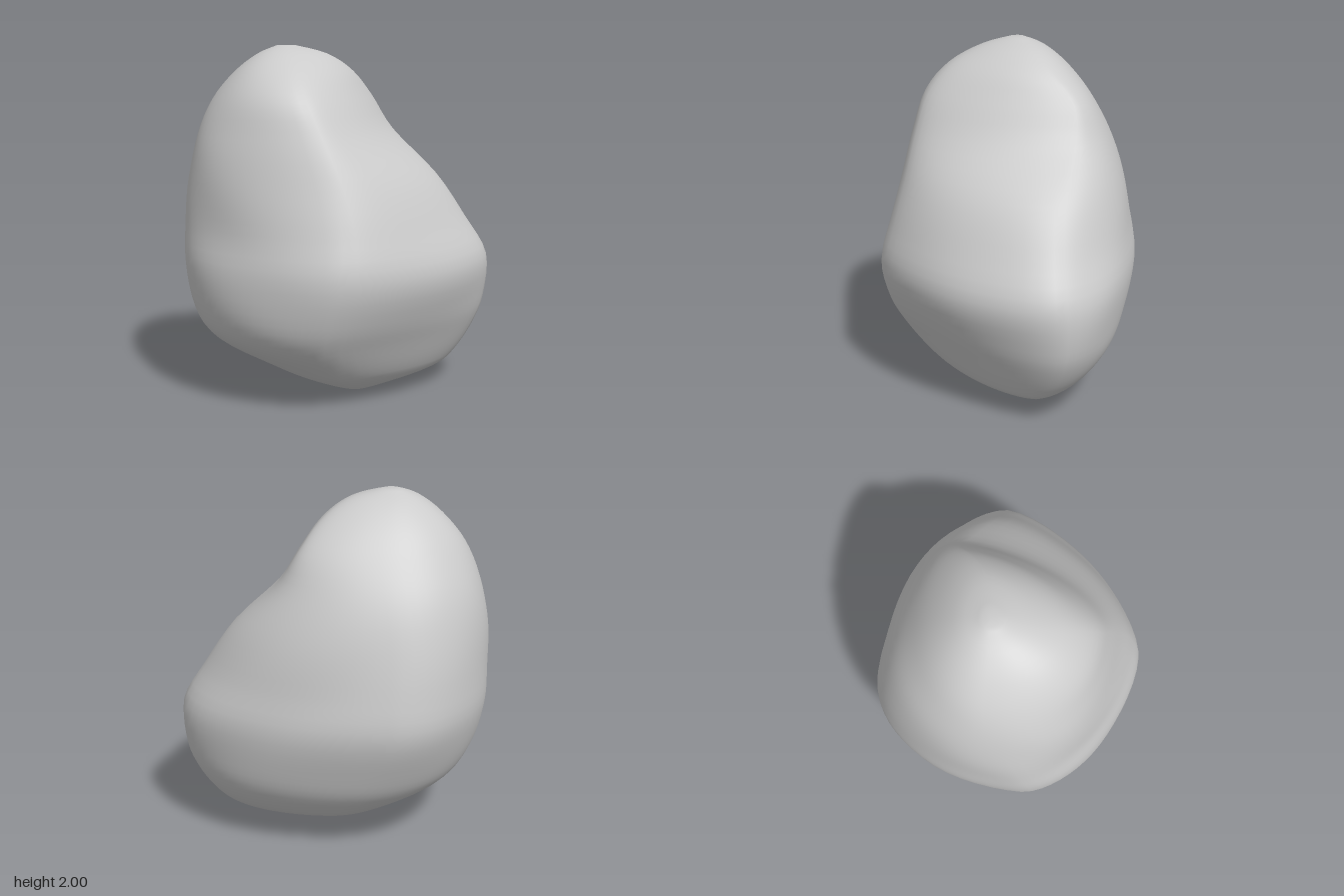
import * as THREE from 'three';

// Horizontal sections: height, left/right extents in x, back/front extents in z,
// then where each extent is reached: z of min x, z of max x, x of min z, x of max z
const SECTIONS = [
  [0.00, 0.06, 0.17, 0.02, 0.12, 0.07, 0.07, 0.11, 0.11],
  [0.05, -0.08, 0.36, -0.16, 0.27, 0.10, 0.02, 0.10, 0.08],
  [0.12, -0.26, 0.60, -0.33, 0.41, 0.12, -0.03, 0.06, 0.03],
  [0.20, -0.43, 0.71, -0.47, 0.51, 0.13, -0.07, 0.00, -0.02],
  [0.35, -0.71, 0.81, -0.61, 0.64, 0.14, -0.10, -0.09, -0.09],
  [0.52, -0.83, 0.87, -0.69, 0.725, 0.14, -0.11, -0.17, -0.07],
  [0.77, -0.885, 0.885, -0.765, 0.765, 0.12, -0.10, -0.26, -0.01],
  [1.00, -0.885, 0.75, -0.74, 0.71, 0.07, -0.11, -0.28, 0.00],
  [1.25, -0.865, 0.58, -0.685, 0.63, 0.01, -0.15, -0.29, -0.05],
  [1.50, -0.81, 0.335, -0.595, 0.55, -0.05, -0.27, -0.26, -0.14],
  [1.70, -0.72, 0.21, -0.48, 0.47, -0.08, -0.30, -0.24, -0.22],
  [1.85, -0.60, 0.09, -0.36, 0.33, -0.08, -0.20, -0.25, -0.27],
  [1.95, -0.47, -0.06, -0.24, 0.14, -0.07, -0.11, -0.28, -0.30],
  [2.00, -0.35, -0.25, -0.12, -0.03, -0.08, -0.08, -0.30, -0.30],
];
const STEPS = 4;      // rings between two sections
const SIDES = 64;
// Bulge of the quarters: front right, front left, back left, back right (2 is round)
const FOOT_BULGE = [1.35, 1.72, 2.15, 1.85];
const BODY_BULGE = [1.5, 1.65, 2.05, 1.8];
const CROWN_BULGE = [1.65, 2.2, 2.15, 2.2];

// Smooth blend of the sections at a fractional index
function sectionAt(t) {
  const last = SECTIONS.length - 1;
  const i = Math.min(Math.floor(t), last - 1);
  const f = t - i;
  const row = k => SECTIONS[Math.max(0, Math.min(last, k))];
  return SECTIONS[0].map((_, c) => {
    const [a, b, d, e] = [row(i - 1)[c], row(i)[c], row(i + 1)[c], row(i + 2)[c]];
    const m0 = (d - a) / 2, m1 = (e - b) / 2;
    return b + f * (m0 + f * (3 * (d - b) - 2 * m0 - m1 + f * (m0 + m1 - 2 * (d - b))));
  });
}

// Bulge of a quarter at a height, from foot through body to crown
function bulgeAt(y, q) {
  const { lerp, smoothstep } = THREE.MathUtils;
  const lower = lerp(FOOT_BULGE[q], BODY_BULGE[q], smoothstep(y, 0.25, 0.75));
  return lerp(lower, CROWN_BULGE[q], smoothstep(y, 0.85, 1.5));
}

// Point on a section: four superelliptic quarters joined at the extents
function outlinePoint(s, j) {
  const [y, x0, x1, z0, z1, zAtX0, zAtX1, xAtZ0, xAtZ1] = s;
  const angle = (j / SIDES) * Math.PI * 2;
  const q = Math.floor((j * 4) / SIDES);
  const p = bulgeAt(y, q);
  const c = Math.abs(Math.cos(angle)), n = Math.abs(Math.sin(angle));
  const r = Math.pow(Math.pow(c, p) + Math.pow(n, p), -1 / p);
  const [endX, endXz] = q === 0 || q === 3 ? [x1, zAtX1] : [x0, zAtX0];
  const [endZ, endZx] = q < 2 ? [z1, xAtZ1] : [z0, xAtZ0];
  const x = endZx + (endX - endZx) * c * r;
  const z = endXz + (endZ - endXz) * n * r;
  // Faint weathered lumps
  const lump = 1 + 0.005 * Math.sin(5 * x + 7 * y) * Math.sin(9 * z + 4 * y + 1);
  return [x * lump, y, z * lump];
}

function boulderGeometry() {
  const rings = (SECTIONS.length - 1) * STEPS + 1;
  const positions = [], index = [];
  for (let i = 0; i < rings; i++) {
    const s = sectionAt(i / STEPS);
    for (let j = 0; j < SIDES; j++) positions.push(...outlinePoint(s, j));
  }
  for (let i = 0; i < rings - 1; i++) {
    for (let j = 0; j < SIDES; j++) {
      const k = (j + 1) % SIDES;
      const a = i * SIDES + j, b = i * SIDES + k;
      index.push(a, a + SIDES, b, b, a + SIDES, b + SIDES);
    }
  }
  // Close the foot and the crown
  const foot = rings * SIDES, crown = foot + 1, top = (rings - 1) * SIDES;
  positions.push(0.11, 0, 0.07, -0.3, 2, -0.08);
  for (let j = 0; j < SIDES; j++) {
    const k = (j + 1) % SIDES;
    index.push(foot, j, k, crown, top + k, top + j);
  }
  const geometry = new THREE.BufferGeometry();
  geometry.setAttribute('position', new THREE.Float32BufferAttribute(positions, 3));
  geometry.setIndex(index);
  geometry.computeVertexNormals();
  return geometry;
}

export function createModel() {
  const group = new THREE.Group();
  group.name = 'rock';
  const boulder = new THREE.Mesh(
    boulderGeometry(),
    new THREE.MeshStandardMaterial({ color: 0xcccccc })
  );
  boulder.name = 'boulder';
  group.add(boulder);
  return group;
}
